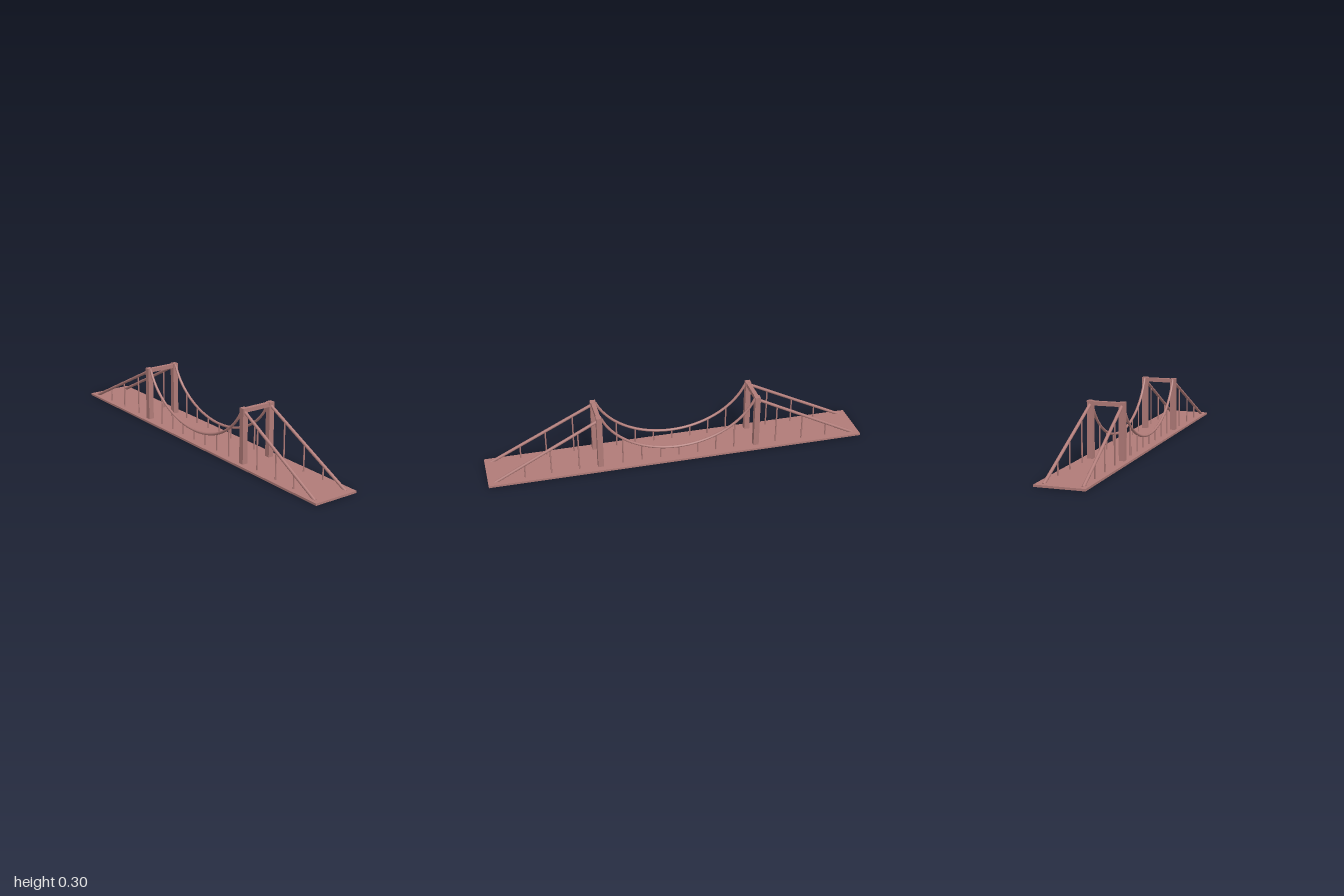
import * as THREE from 'three';

const DECK_TOP = 0.013;
const TOWER_X = 0.419;
const SADDLE_Y = 0.288;
const material = new THREE.MeshStandardMaterial({ color: 0xb07b78 });

function add(parent, name, geometry, x = 0, y = 0, z = 0) {
  const mesh = new THREE.Mesh(geometry, material);
  mesh.name = name;
  mesh.position.set(x, y, z);
  parent.add(mesh);
  return mesh;
}

// Height of the hanging main cable at x
function sag(x) {
  return 0.065 + 0.339 * (1 - Math.sqrt(1 - (x / 0.43) ** 2));
}

// Round rod between two points
function addRod(parent, name, a, b, radius, sides = 16) {
  const dir = b.clone().sub(a);
  const rod = add(parent, name, new THREE.CylinderGeometry(radius, radius, dir.length(), sides));
  rod.position.copy(a).lerp(b, 0.5);
  rod.quaternion.setFromUnitVectors(new THREE.Vector3(0, 1, 0), dir.normalize());
  return rod;
}

export function createModel() {
  const bridge = new THREE.Group();
  bridge.name = 'suspensionBridge';

  // Road deck
  add(bridge, 'deck', new THREE.BoxGeometry(2, 0.011, 0.25), 0, 0.0075, 0);

  // Two portal towers: a pair of legs joined by a top beam
  for (const side of [-1, 1]) {
    const tower = new THREE.Group();
    tower.name = side < 0 ? 'rightTower' : 'leftTower';
    tower.position.x = side * TOWER_X;
    for (const z of [0.087, -0.078]) {
      add(tower, 'towerLeg', new THREE.BoxGeometry(0.029, 0.292, 0.029), 0, 0.156, z);
    }
    add(tower, 'towerBeam', new THREE.BoxGeometry(0.022, 0.021, 0.15), 0, 0.289, 0.0045);
    bridge.add(tower);
  }

  // Cables and hangers on the front and the back edge
  for (const [name, z, endZ] of [['front', 0.086, 0.099], ['back', -0.078, -0.09]]) {
    const cables = new THREE.Group();
    cables.name = name + 'Cables';
    bridge.add(cables);

    // Main span cable
    const points = [];
    for (let i = -20; i <= 20; i++) {
      const x = 0.408 * Math.sin((i / 20) * Math.PI / 2);
      points.push(new THREE.Vector3(x, sag(x), z));
    }
    const curve = new THREE.CatmullRomCurve3(points);
    add(cables, 'mainCable', new THREE.TubeGeometry(curve, 64, 0.007, 12));

    // Main span hangers
    for (let i = -3; i <= 3; i++) {
      const x = i * 0.1;
      addRod(cables, 'hanger', new THREE.Vector3(x, 0.005, z), new THREE.Vector3(x, sag(x), z), 0.004, 10);
    }

    // Straight back stays, each with three hangers
    for (const side of [-1, 1]) {
      const top = new THREE.Vector3(side * 0.415, SADDLE_Y, z);
      const end = new THREE.Vector3(side * 0.965, DECK_TOP - 0.005, endZ);
      addRod(cables, 'backStay', top, end, 0.008);
      for (const x of [0.53, 0.675, 0.81]) {
        const p = top.clone().lerp(end, (x - 0.415) / 0.55);
        addRod(cables, 'stayHanger', new THREE.Vector3(p.x, 0, p.z), p, 0.004, 10);
      }
    }
  }

  return bridge;
}
